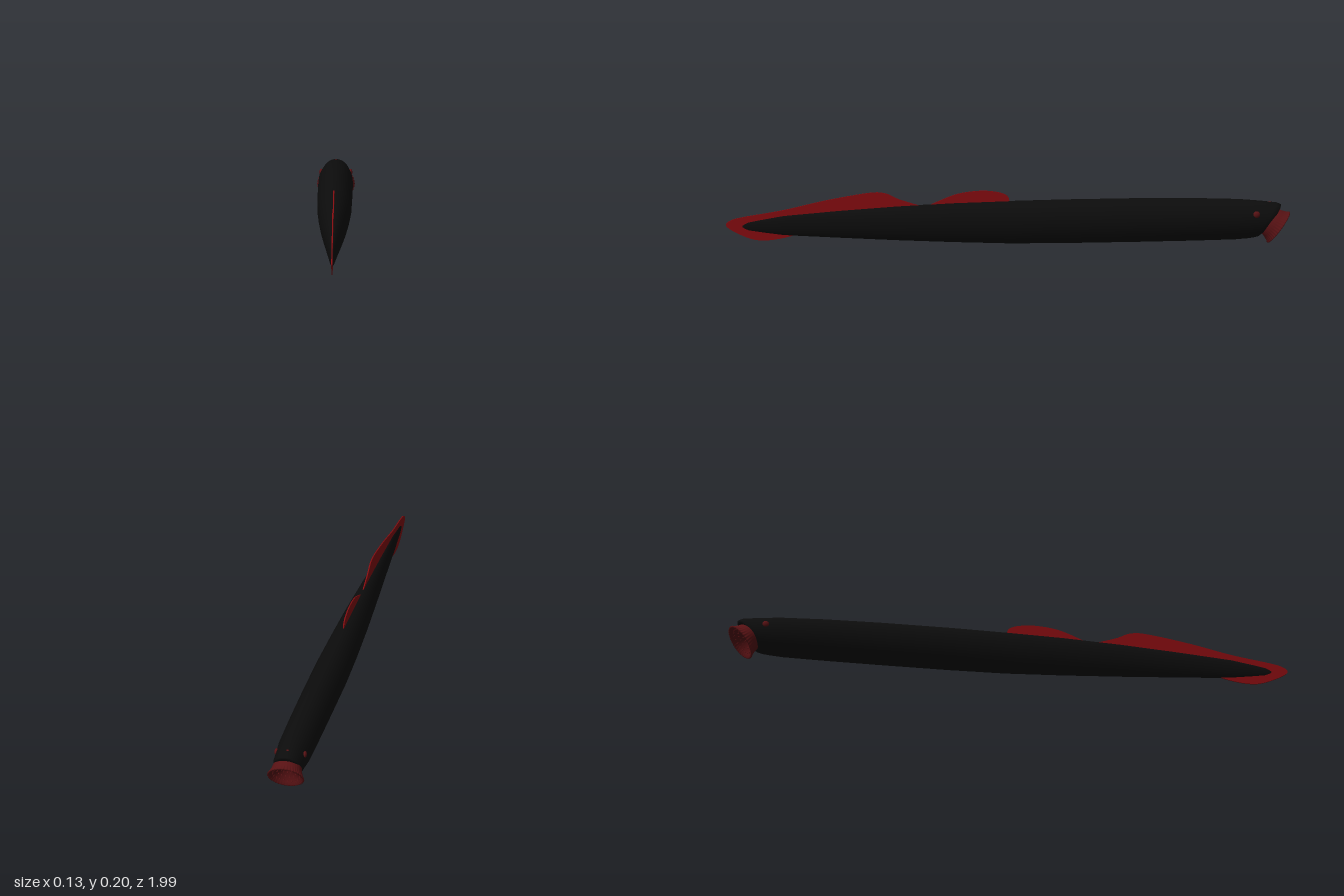
import * as THREE from 'three';

const skin = new THREE.MeshStandardMaterial({ color: 0x0c0c0c });
skin.name = 'black skin';
const finRed = new THREE.MeshStandardMaterial({ color: 0x860c10, side: THREE.DoubleSide });
finRed.name = 'fin red';
const mouthRed = new THREE.MeshStandardMaterial({ color: 0x581214, side: THREE.DoubleSide });
mouthRed.name = 'mouth dark red';

function part(name, geometry, material) {
  const mesh = new THREE.Mesh(geometry, material);
  mesh.name = name;
  return mesh;
}

// Loft of ellipses; each section is [z, centre y, half width, half height, backward lean]
function loft(sections, sides) {
  const pos = [], index = [];
  sections.forEach(([z, cy, rx, ry, lean], i) => {
    for (let j = 0; j < sides; j++) {
      const t = (j / sides) * Math.PI * 2;
      const dy = Math.sin(t) * ry;
      pos.push(Math.cos(t) * rx, cy + dy, z - lean * dy);
      if (i === sections.length - 1) continue;
      const a = i * sides + j, b = i * sides + ((j + 1) % sides);
      index.push(a, b, a + sides, b, b + sides, a + sides);
    }
  });
  const g = new THREE.BufferGeometry();
  g.setAttribute('position', new THREE.Float32BufferAttribute(pos, 3));
  g.setIndex(index);
  g.computeVertexNormals();
  return g;
}

// Thin upright fin; the edge is a smooth line of [z, y], closed inside the body
function fin(name, edge, root) {
  const shape = new THREE.Shape();
  shape.moveTo(...edge[0]);
  shape.splineThru(edge.slice(1).map(p => new THREE.Vector2(...p)));
  root.forEach(p => shape.lineTo(...p));
  shape.closePath();
  const depth = 0.004;
  const g = new THREE.ExtrudeGeometry(shape, { depth, bevelEnabled: false, curveSegments: 40 });
  g.translate(0, 0, -depth / 2).rotateY(-Math.PI / 2);
  return part(name, g, finRed);
}

// Funnel-shaped sucker, built along +y with its rim at y = 0
function sucker() {
  const group = new THREE.Group();
  group.name = 'suckerMouth';
  const profile = [
    [0.046, -0.05], [0.051, -0.042], [0.055, -0.025], [0.06, -0.01], [0.065, -0.003],
    [0.065, 0], [0.06, 0], [0.053, -0.008], [0.038, -0.02], [0.02, -0.03], [0.0, -0.036],
  ].map(p => new THREE.Vector2(...p));
  const g = new THREE.LatheGeometry(profile, 144);
  const p = g.attributes.position;
  for (let i = 0; i < p.count; i++) {
    // scalloped fringe around the rim
    const x = p.getX(i), z = p.getZ(i);
    if (Math.hypot(x, z) < 0.059) continue;
    const s = 1 + 0.02 * Math.cos(36 * Math.atan2(z, x));
    p.setX(i, x * s);
    p.setZ(i, z * s);
  }
  g.computeVertexNormals();
  group.add(part('suckerFunnel', g, mouthRed));

  // rings of small teeth
  for (const [count, r, y] of [[20, 0.048, -0.01], [14, 0.034, -0.02], [8, 0.018, -0.028]]) {
    for (let i = 0; i < count; i++) {
      const t = (i / count) * Math.PI * 2;
      const tooth = part('tooth', new THREE.ConeGeometry(0.003, 0.01, 6), mouthRed);
      tooth.position.set(Math.cos(t) * r, y, Math.sin(t) * r);
      group.add(tooth);
    }
  }
  return group;
}

export function createModel() {
  const model = new THREE.Group();
  model.name = 'lamprey';

  // Long body, head at the back end (-z), tail tip at +z
  model.add(part('body', loft([
    [-0.915, 0.08, 0, 0, 0.75],
    [-0.918, 0.08, 0.044, 0.048, 0.75],
    [-0.914, 0.081, 0.05, 0.056, 0.75],
    [-0.9, 0.083, 0.053, 0.061, 0.68],
    [-0.86, 0.085, 0.055, 0.066, 0.35],
    [-0.8, 0.087, 0.06, 0.071, 0.1],
    [-0.65, 0.089, 0.061, 0.075, 0],
    [-0.45, 0.09, 0.061, 0.077, 0],
    [-0.2, 0.09, 0.06, 0.077, 0],
    [0, 0.09, 0.054, 0.075, 0],
    [0.2, 0.092, 0.046, 0.069, 0],
    [0.4, 0.093, 0.035, 0.06, 0],
    [0.6, 0.093, 0.023, 0.048, 0],
    [0.8, 0.092, 0.011, 0.034, 0],
    [0.92, 0.091, 0.004, 0.016, 0],
    [0.965, 0.091, 0, 0, 0],
  ], 40), skin));

  // Fins
  model.add(fin('frontDorsalFin',
    [[0, 0.16], [0.01, 0.185], [0.05, 0.199], [0.11, 0.203], [0.19, 0.192], [0.28, 0.157]],
    [[0.25, 0.12], [0.03, 0.12]]));
  model.add(fin('tailFin',
    [[0.31, 0.152], [0.39, 0.178], [0.44, 0.2], [0.5, 0.202], [0.65, 0.178], [0.8, 0.146],
      [0.94, 0.124], [0.985, 0.112], [1.0, 0.095], [0.97, 0.072], [0.91, 0.046],
      [0.86, 0.04], [0.8, 0.047], [0.74, 0.062]],
    [[0.72, 0.095], [0.4, 0.12]]));

  // Mouth, tilted back and down
  const mouth = sucker();
  mouth.rotation.x = Math.atan2(-0.8, -0.6);
  mouth.position.set(0, 0.055, -0.948);
  model.add(mouth);

  // Eyes and single nostril
  for (const side of [1, -1]) {
    const eye = part(side > 0 ? 'leftEye' : 'rightEye', new THREE.SphereGeometry(0.012, 20, 14), mouthRed);
    eye.scale.x = 0.6;
    eye.position.set(side * 0.051, 0.11, -0.865);
    model.add(eye);
  }
  const nostril = part('nostril', new THREE.SphereGeometry(0.006, 14, 10), mouthRed);
  nostril.scale.y = 0.5;
  nostril.position.set(0, 0.145, -0.915);
  model.add(nostril);

  return model;
}
